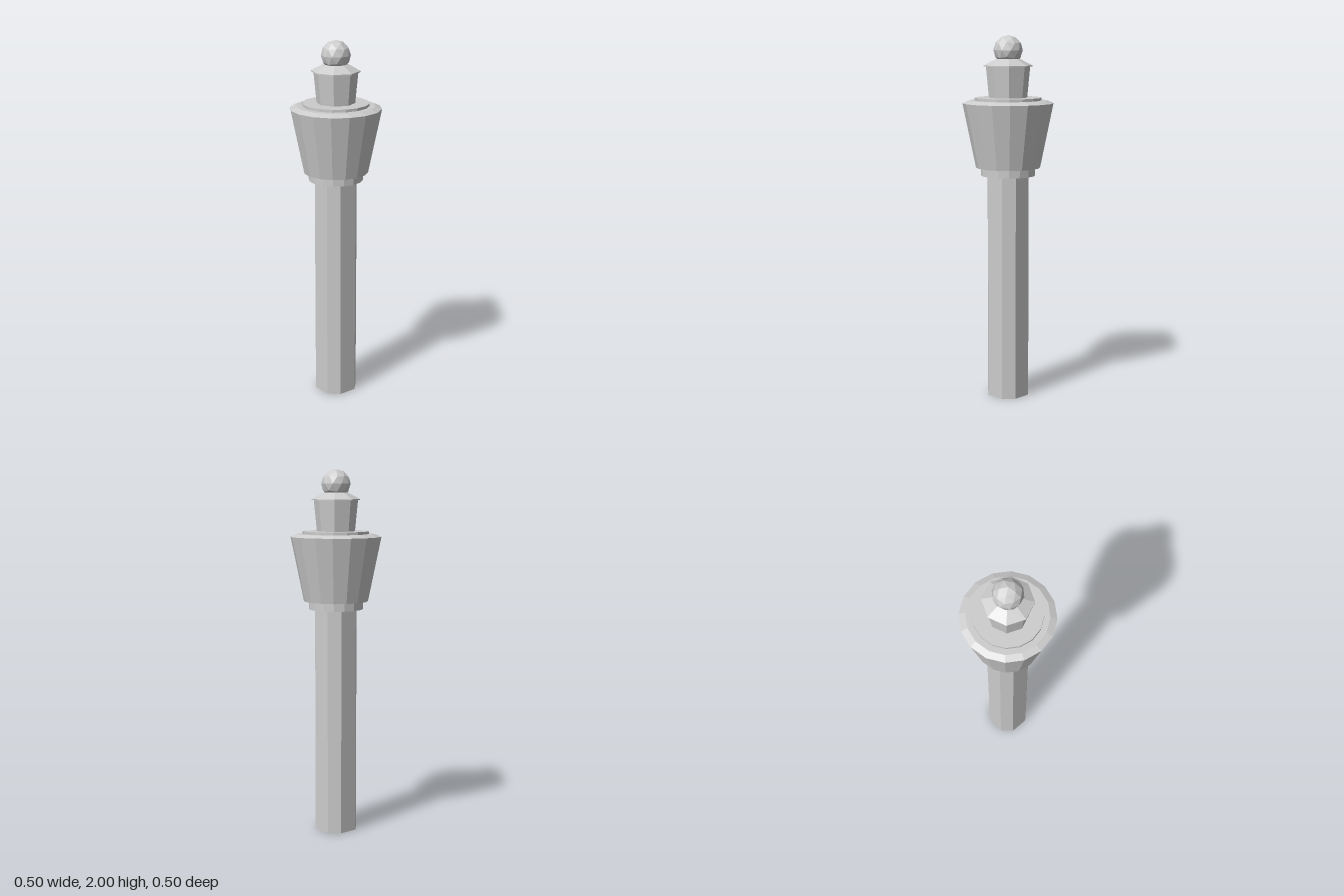
import * as THREE from 'three';

const grey = new THREE.MeshStandardMaterial({ color: 0xcccccc });
grey.name = 'light grey';

// Mesh with one normal per face, for a faceted look
function facet(name, geometry) {
  const geo = geometry.index ? geometry.toNonIndexed() : geometry;
  geo.computeVertexNormals();
  const mesh = new THREE.Mesh(geo, grey);
  mesh.name = name;
  return mesh;
}

// Turned part from [radius, height] pairs, bottom to top
function turned(name, sides, profile) {
  const points = profile.map(([r, y]) => new THREE.Vector2(r, y));
  return facet(name, new THREE.LatheGeometry(points, sides));
}

export function createModel() {
  const model = new THREE.Group();
  model.name = 'post';

  // Square shaft with chamfered corners
  const a = 0.105, b = 0.0525;
  const section = new THREE.Shape(
    [[a, -b], [a, b], [b, a], [-b, a], [-a, b], [-a, -b], [-b, -a], [b, -a]]
      .map(([x, y]) => new THREE.Vector2(x, y)));
  const shaft = new THREE.ExtrudeGeometry(section, { depth: 1.24, bevelEnabled: false });
  shaft.rotateX(-Math.PI / 2);
  model.add(facet('shaft', shaft));

  // Sixteen-sided flared head with collar and top disc
  model.add(turned('collar', 16, [[0, 1.24], [0.149, 1.24], [0.149, 1.284], [0, 1.284]]));
  model.add(turned('head', 16, [[0, 1.284], [0.176, 1.284], [0.248, 1.635], [0.213, 1.65], [0, 1.65]]));
  model.add(turned('topDisc', 16, [[0, 1.65], [0.181, 1.65], [0.181, 1.665], [0, 1.665]]));

  // Eight-sided neck with an overhanging brim
  model.add(turned('neck', 8, [[0, 1.665], [0.104, 1.665], [0.12, 1.832], [0, 1.832]]));
  model.add(turned('brim', 8, [[0, 1.832], [0.132, 1.832], [0.132, 1.838], [0.065, 1.873], [0, 1.873]]));

  // Faceted ball, turned so that one corner points straight up
  const ball = new THREE.IcosahedronGeometry(0.08, 1);
  ball.rotateZ(-Math.atan(2 / (1 + Math.sqrt(5))));
  ball.translate(0, 1.92, 0);
  model.add(facet('ball', ball));

  return model;
}
